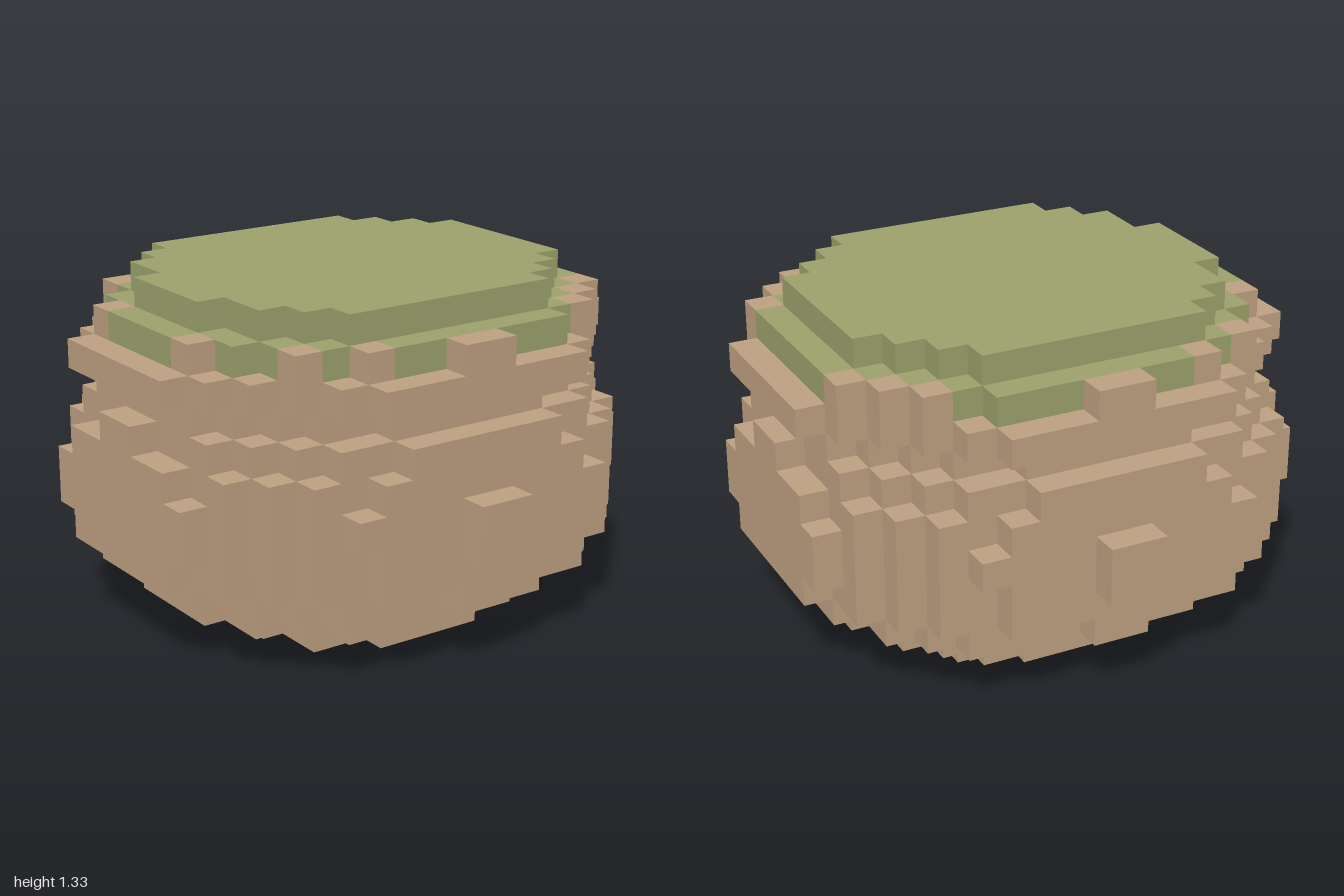
import * as THREE from 'three';

const U = 1 / 9; // size of one block

const clay = new THREE.MeshStandardMaterial({ color: 0xbd9f80 });
clay.name = 'clay brown';
const moss = new THREE.MeshStandardMaterial({ color: 0x9ba06b });
moss.name = 'moss green';

// Stepped slab one block high. left/right hold the half widths of each row,
// counted outwards from z = 0 and mirrored front to back.
function slab(name, level, material, right, left = right) {
  const side = (widths, sign) => {
    const pts = [];
    widths.forEach((w, r) => {
      if (w === widths[r + 1]) return; // row continues straight
      pts.push([sign * w, r + 1]);
      if (r + 1 < widths.length) pts.push([sign * widths[r + 1], r + 1]);
    });
    return pts;
  };
  const a = side(right, 1);
  const b = side(left, -1);
  const flip = (pts) => pts.map(([x, y]) => [x, -y]);
  const outline = [...a, ...b.slice().reverse(), ...flip(b), ...flip(a).reverse()];
  const shape = new THREE.Shape(outline.map(([x, y]) => new THREE.Vector2(x * U, y * U)));
  const geometry = new THREE.ExtrudeGeometry(shape, { depth: U, bevelEnabled: false });
  geometry.rotateX(-Math.PI / 2);
  const mesh = new THREE.Mesh(geometry, material);
  mesh.name = name;
  mesh.position.y = level * U;
  return mesh;
}

export function createModel() {
  const model = new THREE.Group();
  model.name = 'blockPot';

  // Bowl and rim, from the base upwards
  const bowl = new THREE.Group();
  bowl.name = 'bowl';
  const layers = [
    [5, 5, 4, 4, 2],
    [7, 7, 6, 6, 5, 4],
    [8, 8, 8, 7, 7, 6, 5, 1],
    [9, 9, 9, 8, 8, 7, 6, 4],
    [9, 9, 9, 9, 8, 7, 6, 4, 1],
    [9, 9, 9, 9, 8, 7, 6, 5, 1],
    [9, 9, 9, 8, 8, 7, 6, 4],
    [9, 8, 8, 8, 7, 6, 5, 3],
    [8, 8, 8, 7, 6, 5, 3],
    [9, 9, 9, 8, 7, 6, 5, 4],
  ];
  layers.forEach((rows, i) => {
    const name = i === 0 ? 'base' : i === 8 ? 'neck' : i === 9 ? 'rim' : 'bowlLayer' + i;
    bowl.add(slab(name, i, clay, rows));
  });
  model.add(bowl);

  // Green filling rising above the rim
  model.add(slab('fillingLower', 10, moss, [8, 8, 8, 7, 6, 5, 4], [8, 8, 7, 7, 6, 5, 3]));
  model.add(slab('fillingTop', 11, moss, [7, 7, 7, 6, 5, 4], [7, 7, 6, 6, 5, 4]));

  // Brown blocks standing on the rim: [start x, width, row], mirrored front to back
  const rimBlocks = new THREE.Group();
  rimBlocks.name = 'rimBlocks';
  const blocks = [[-1, 2, 7], [-4, 1, 6], [-6, 1, 5], [5, 1, 5], [6, 1, 4], [7, 1, 3], [-8, 1, 2]];
  for (const [x, w, row] of blocks) {
    for (const s of [1, -1]) {
      const block = new THREE.Mesh(new THREE.BoxGeometry(w * U, U, U), clay);
      block.name = 'rimBlock';
      block.position.set((x + w / 2) * U, 10.5 * U, s * (row + 0.5) * U);
      rimBlocks.add(block);
    }
  }
  model.add(rimBlocks);

  return model;
}
